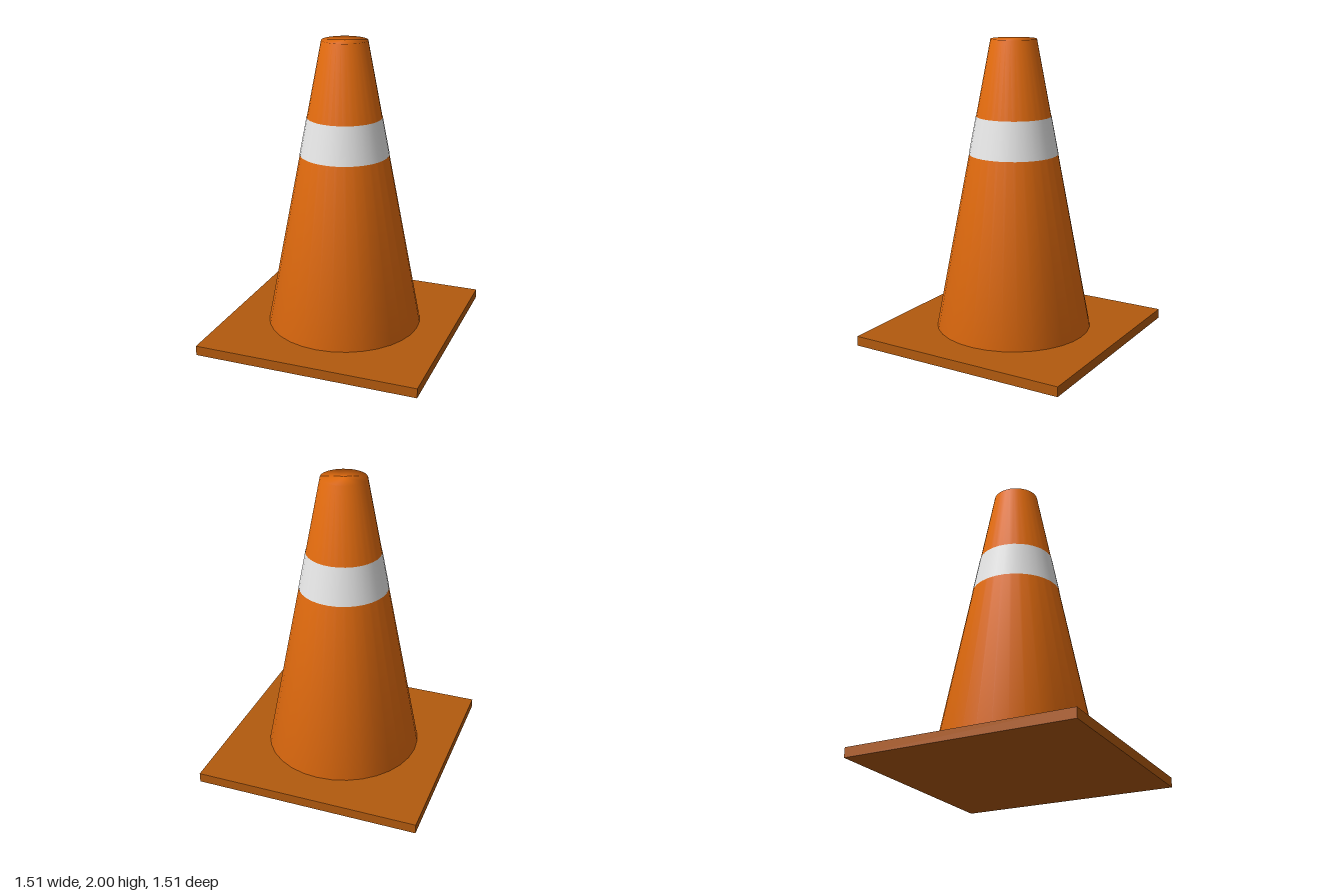
import * as THREE from 'three';

const material = (name, color, side = THREE.FrontSide) => {
  const m = new THREE.MeshStandardMaterial({ color, side });
  m.name = name;
  return m;
};

export function createModel() {
  const orange = material('bright orange', 0xf27310);
  const darkOrange = material('dark orange', 0xb25a0e);
  const white = material('reflective white', 0xfafafa, THREE.DoubleSide);

  const SEGMENTS = 32;
  const BASE = 0.065, TOP = 2, R_BASE = 0.522, R_TOP = 0.15;
  const radiusAt = (y) => R_BASE + ((R_TOP - R_BASE) * (y - BASE)) / (TOP - BASE);

  const model = new THREE.Group();
  model.name = 'trafficCone';
  const add = (name, geometry, mat, y = 0) => {
    const mesh = new THREE.Mesh(geometry, mat);
    mesh.name = name;
    mesh.position.y = y;
    model.add(mesh);
  };

  // Square foot plate
  add('basePlate', new THREE.BoxGeometry(1.51, BASE, 1.51), darkOrange, BASE / 2);

  // Closed cone body, with shading that runs smoothly over its rims
  const foot = BASE - 0.005;
  const profile = [[0, foot], [radiusAt(foot), foot], [R_TOP, TOP], [0, TOP]]
    .map(([r, y]) => new THREE.Vector2(r, y));
  add('coneBody', new THREE.LatheGeometry(profile, SEGMENTS), orange);

  // Thin reflective sleeve following the taper
  const low = 1.25, high = 1.5, lift = 0.002;
  add('reflectiveBand', new THREE.CylinderGeometry(
    radiusAt(high) + lift, radiusAt(low) + lift, high - low, SEGMENTS, 1, true
  ), white, (low + high) / 2);

  return model;
}
